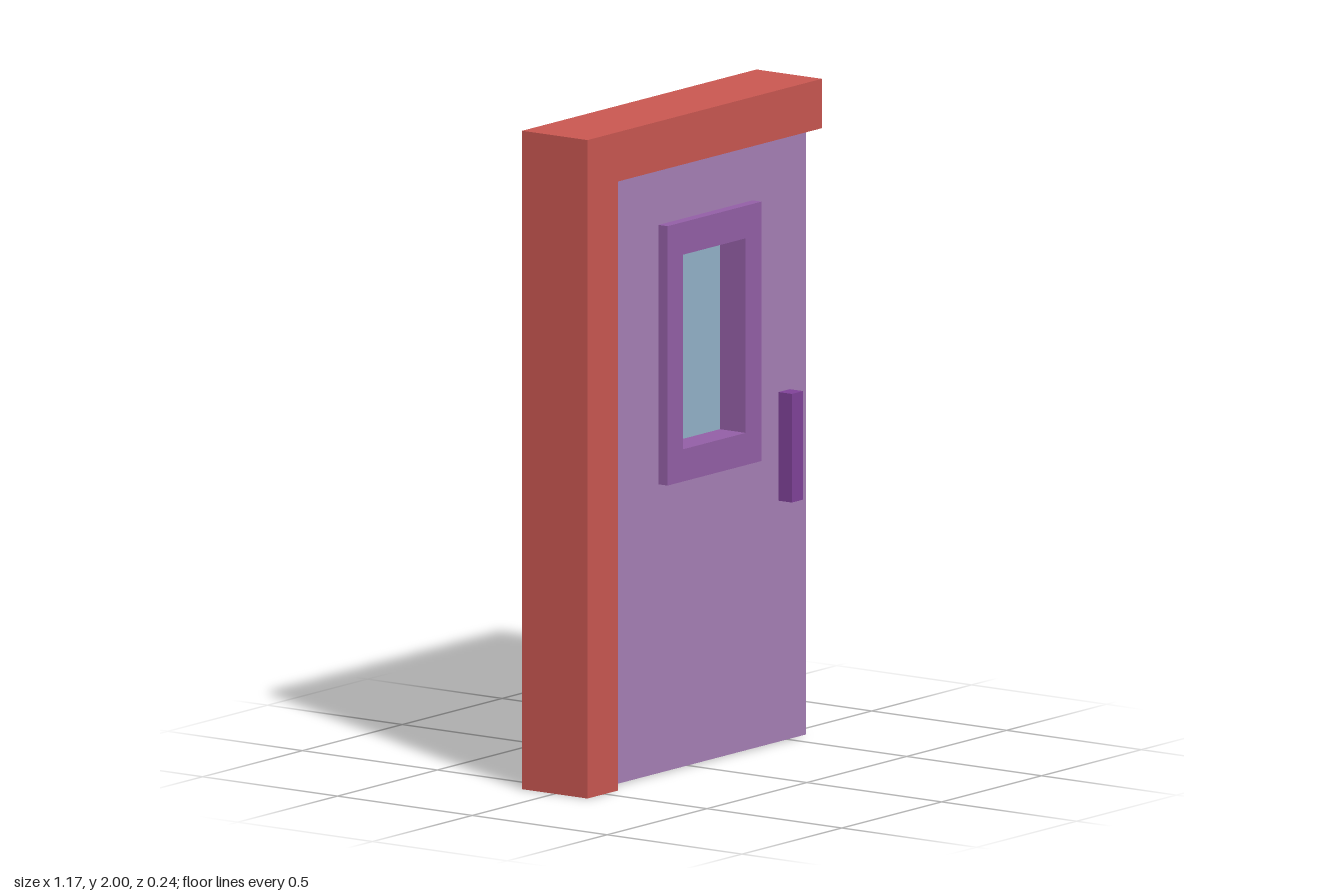
import * as THREE from 'three';

const mat = (name, color) => {
  const m = new THREE.MeshStandardMaterial({ color });
  m.name = name;
  return m;
};

// Rectangle outline from edges
function rect(target, x0, y0, x1, y1) {
  target.moveTo(x0, y0);
  target.lineTo(x1, y0);
  target.lineTo(x1, y1);
  target.lineTo(x0, y1);
  target.closePath();
  return target;
}

// Rectangular panel with a rectangular opening, spanning z0 to z1
function ringPanel(outer, inner, z0, z1) {
  const shape = rect(new THREE.Shape(), ...outer);
  shape.holes.push(rect(new THREE.Path(), ...inner));
  const geo = new THREE.ExtrudeGeometry(shape, { depth: z1 - z0, bevelEnabled: false });
  return geo.translate(0, 0, z0);
}

// Box given by its edges
function box(x0, y0, z0, x1, y1, z1) {
  const geo = new THREE.BoxGeometry(x1 - x0, y1 - y0, z1 - z0);
  return geo.translate((x0 + x1) / 2, (y0 + y1) / 2, (z0 + z1) / 2);
}

export function createModel() {
  const red = mat('frame red', 0xcb5852);
  const lilac = mat('door lilac', 0xa881b7);
  const purple = mat('trim purple', 0x9560a8);
  const violet = mat('handle violet', 0x81439a);
  const blue = mat('glass blue', 0x95b4cb);

  const group = new THREE.Group();
  group.name = 'door';
  const add = (name, geo, material) => {
    const mesh = new THREE.Mesh(geo, material);
    mesh.name = name;
    group.add(mesh);
  };

  // L-shaped surround: one post and the lintel
  const surround = new THREE.Shape([
    [-0.587, 0], [-0.433, 0], [-0.433, 1.85], [0.587, 1.85], [0.587, 2], [-0.587, 2],
  ].map(([x, y]) => new THREE.Vector2(x, y)));
  const surroundGeo = new THREE.ExtrudeGeometry(surround, { depth: 0.242, bevelEnabled: false });
  add('doorFrame', surroundGeo.translate(0, 0, -0.121), red);

  // Door leaf with its window opening
  const opening = [-0.083, 0.974, 0.238, 1.573];
  add('doorLeaf', ringPanel([-0.423, 0.003, 0.58, 1.838], opening, -0.066, 0.067), lilac);

  // Window trim standing proud on both faces, and the pane
  const trim = [-0.158, 0.88, 0.313, 1.668];
  add('windowTrimFront', ringPanel(trim, opening, 0.067, 0.1), purple);
  add('windowTrimBack', ringPanel(trim, opening, -0.098, -0.066), purple);
  const [x0, y0, x1, y1] = opening;
  const t = 0.004; // lining of the opening
  add('windowLining', ringPanel(opening, [x0 + t, y0 + t, x1 - t, y1 - t], -0.098, 0.1), purple);
  add('windowPane', box(x0, y0, -0.004, x1, y1, 0.004), blue);

  // Pull handles on both faces
  add('handleFront', box(0.443, 0.735, 0.067, 0.499, 1.065, 0.116), violet);
  add('handleBack', box(0.443, 0.735, -0.114, 0.499, 1.065, -0.066), violet);

  return group;
}
